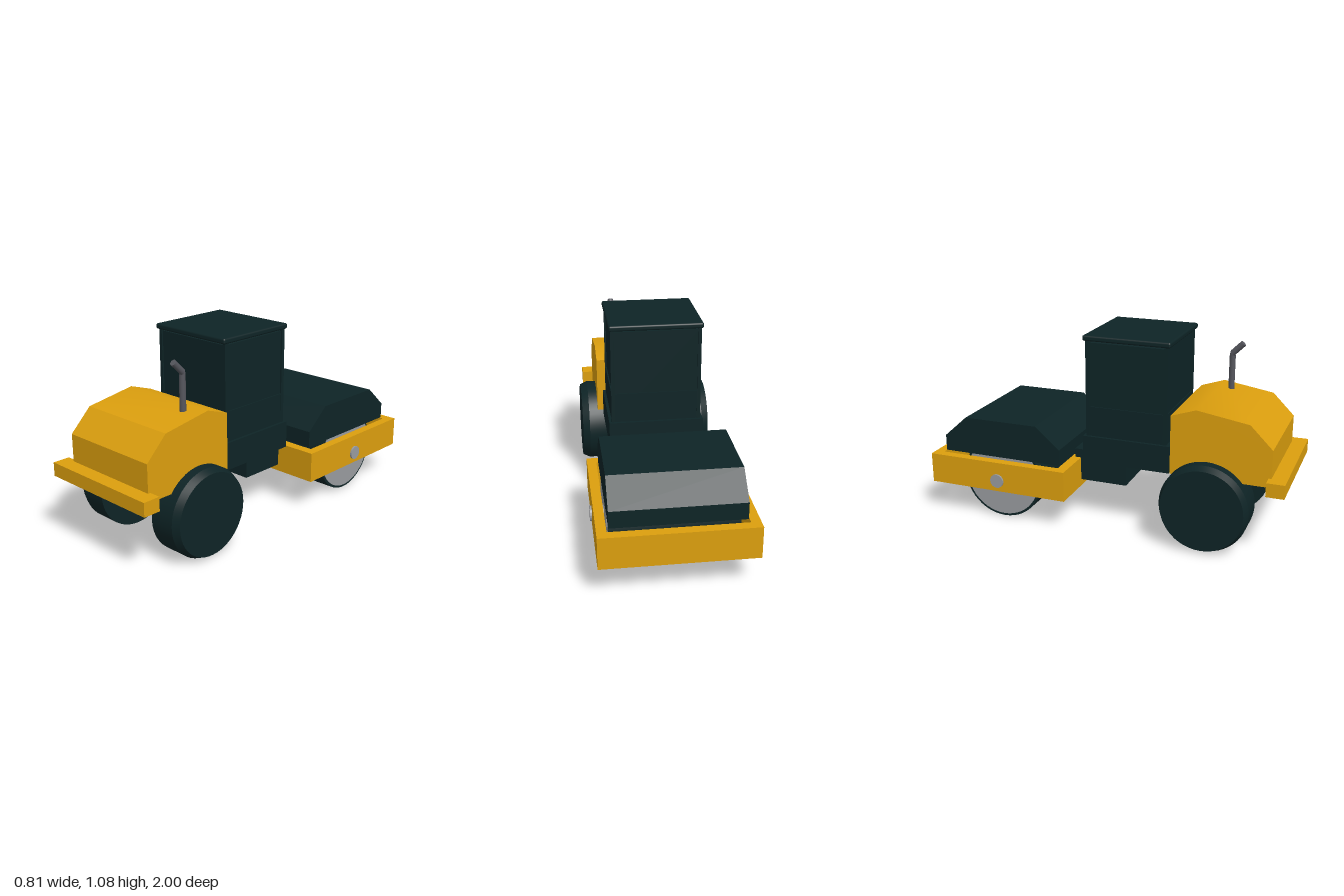
import * as THREE from 'three';
import { toCreasedNormals } from 'three/addons/utils/BufferGeometryUtils.js';
import { RoundedBoxGeometry } from 'three/addons/geometries/RoundedBoxGeometry.js';

const paint = (name, color) => {
  const m = new THREE.MeshStandardMaterial({ color });
  m.name = name;
  return m;
};

export function createModel() {
  const model = new THREE.Group();
  model.name = 'roadRoller';
  const yellow = paint('yellow', 0xdc9f0e);
  const dark = paint('darkGreen', 0x0e2426);
  const steel = paint('steel', 0x999b9f);
  const pipeGrey = paint('pipeGrey', 0x55565d);

  const add = (name, geometry, material, x = 0, y = 0, z = 0) => {
    const mesh = new THREE.Mesh(geometry, material);
    mesh.name = name;
    mesh.position.set(x, y, z);
    model.add(mesh);
    return mesh;
  };

  // Box given by its limits on each axis
  const box = (name, material, [x0, x1], [y0, y1], [z0, z1]) =>
    add(name, new THREE.BoxGeometry(x1 - x0, y1 - y0, z1 - z0), material,
      (x0 + x1) / 2, (y0 + y1) / 2, (z0 + z1) / 2);

  // Side profile of [z, y] points extruded across the width
  const sideProfile = (points, width, crease) => {
    const shape = new THREE.Shape(points.map(([z, y]) => new THREE.Vector2(z, y)));
    const g = new THREE.ExtrudeGeometry(shape, { depth: width, bevelEnabled: false });
    g.translate(0, 0, -width / 2).rotateY(-Math.PI / 2);
    return toCreasedNormals(g, crease);
  };

  // Solid of revolution about x, from [radius, x] points
  const revolve = (points, crease = 0.5) => {
    const g = new THREE.LatheGeometry(points.map(([r, x]) => new THREE.Vector2(r, x)), 48);
    g.rotateZ(-Math.PI / 2);
    return toCreasedNormals(g, crease);
  };

  // Engine hood and bumper
  add('engineHood', sideProfile([[0.385, 0.39], [0.92, 0.39], [0.92, 0.59], [0.8, 0.71],
    [0.52, 0.755], [0.385, 0.71]], 0.585, 0.55), yellow);
  box('bumper', yellow, [-0.355, 0.355], [0.365, 0.44], [0.905, 1]);

  // Exhaust with a bent tip
  const path = new THREE.CurvePath();
  const bend = [[0.7, 0.585], [0.945, 0.585], [1.003, 0.643]].map(([y, z]) => new THREE.Vector3(0.183, y, z));
  path.add(new THREE.LineCurve3(bend[0], bend[1]));
  path.add(new THREE.LineCurve3(bend[1], bend[2]));
  add('exhaust', new THREE.TubeGeometry(path, 24, 0.017, 12), pipeGrey);
  const tip = add('exhaustTip', new THREE.CircleGeometry(0.017, 12), pipeGrey, 0.183, 1.003, 0.643);
  tip.rotation.x = -Math.PI / 4;

  // Wheels, chamfered on the outer edge
  const wheel = revolve([[0, 0.2], [0.24, 0.2], [0.24, 0.345], [0.222, 0.385], [0, 0.385]], 0.35);
  for (const side of [1, -1]) {
    const mesh = add(side > 0 ? 'leftWheel' : 'rightWheel', wheel, dark, 0, 0.243, 0.585);
    if (side < 0) mesh.rotation.y = Math.PI;
  }

  // Cab: base, panes set behind corner posts, lower rails and roof
  box('cabBase', dark, [-0.26, 0.26], [0.375, 0.525], [-0.12, 0.37]);
  box('cabPanes', dark, [-0.237, 0.237], [0.525, 1.04], [-0.097, 0.342]);
  for (const [x0, x1] of [[-0.246, -0.227], [0.227, 0.246]])
    for (const [z0, z1] of [[-0.105, -0.085], [0.33, 0.35]])
      box('cabPost', dark, [x0, x1], [0.525, 1.052], [z0, z1]);
  box('cabLowerPanel', dark, [-0.244, 0.244], [0.525, 0.69], [-0.103, 0.348]);
  add('cabRoof', new RoundedBoxGeometry(0.51, 0.03, 0.485, 3, 0.01), dark, 0, 1.065, 0.123);

  // Articulated joint between the halves
  box('joint', dark, [-0.152, 0.152], [0.218, 0.4], [-0.215, 0.09]);

  // Drum frame ring
  for (const side of [1, -1])
    box(side > 0 ? 'leftFrameRail' : 'rightFrameRail', yellow,
      side > 0 ? [0.345, 0.395] : [-0.395, -0.345], [0.18, 0.35], [-1, -0.18]);
  box('frontFrameRail', yellow, [-0.345, 0.345], [0.18, 0.35], [-0.235, -0.18]);
  box('rearFrameRail', yellow, [-0.345, 0.345], [0.18, 0.35], [-1, -0.948]);

  // Drum with steel ends and hub pins
  add('drum', revolve([[0, -0.33], [0.235, -0.33], [0.235, 0.33], [0, 0.33]]), dark, 0, 0.24, -0.585);
  add('drumEnds', revolve([[0, -0.334], [0.221, -0.334], [0.221, 0.334], [0, 0.334]]), steel, 0, 0.24, -0.585);
  add('hubPins', revolve([[0, -0.405], [0.039, -0.405], [0.039, 0.405], [0, 0.405]]), steel, 0, 0.243, -0.585);

  // Cover above the drum
  add('drumCover', sideProfile([[-0.935, 0.36], [-0.23, 0.36], [-0.23, 0.45], [-0.37, 0.57],
    [-0.8, 0.57], [-0.935, 0.45]], 0.672, 0.3), dark);

  return model;
}
